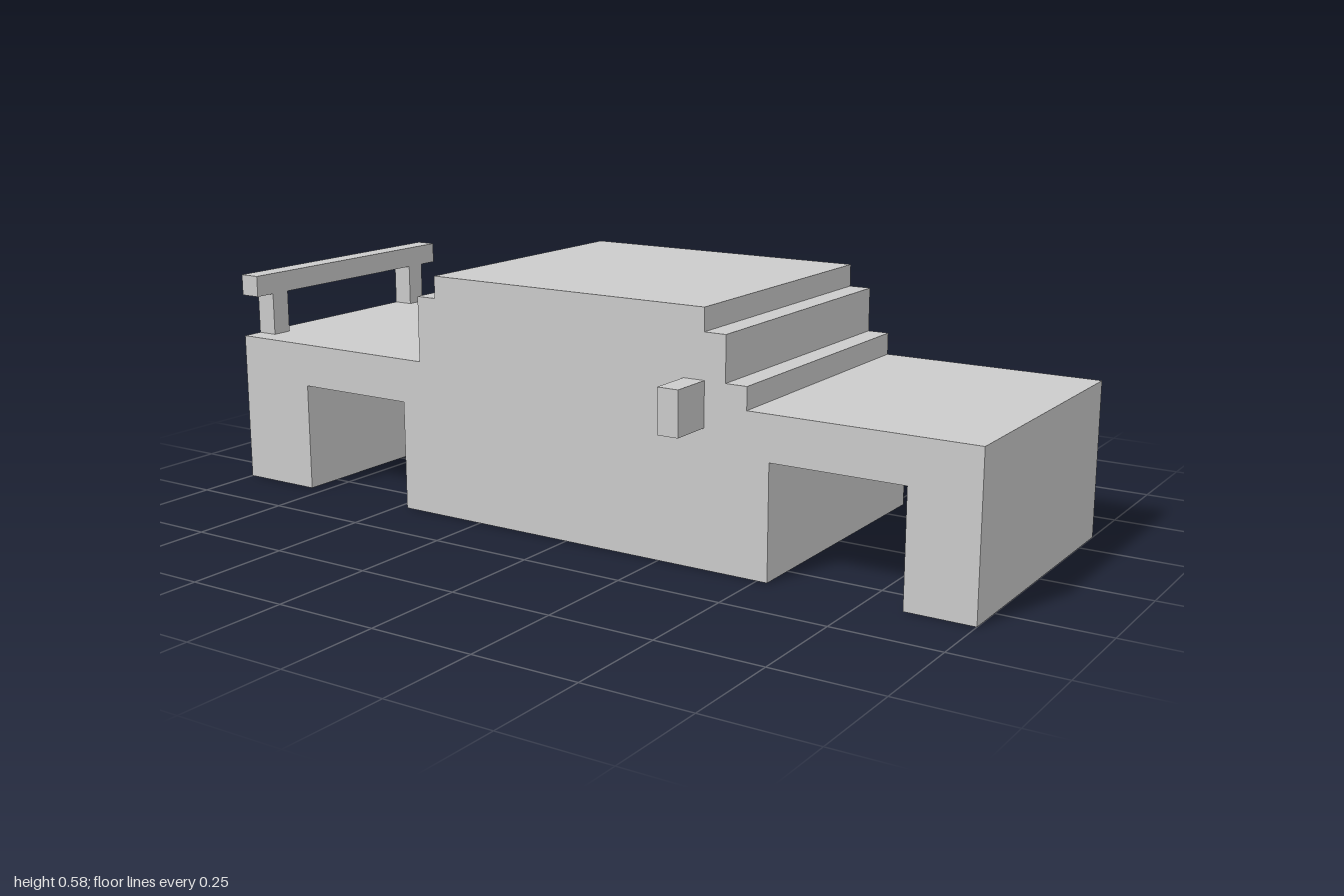
import * as THREE from 'three';

const WIDTH = 0.684; // body width across z
const HALF = WIDTH / 2;

export function createModel() {
  const car = new THREE.Group();
  car.name = 'car';
  const material = new THREE.MeshStandardMaterial({ color: 0xcccccc, flatShading: true });

  const add = (name, geometry) => {
    const mesh = new THREE.Mesh(geometry, material);
    mesh.name = name;
    car.add(mesh);
    return mesh;
  };

  // Box given by its lower and upper corners
  const box = (name, [x0, y0, z0], [x1, y1, z1]) =>
    add(name, new THREE.BoxGeometry(x1 - x0, y1 - y0, z1 - z0))
      .position.set((x0 + x1) / 2, (y0 + y1) / 2, (z0 + z1) / 2);

  // Body: side profile with two wheel wells, stepped cabin and hood
  const profile = [
    [-1, 0], [-0.79, 0], [-0.79, 0.265], [-0.475, 0.265], [-0.475, 0],
    [0.525, 0], [0.525, 0.265], [0.84, 0.265], [0.84, 0], [1, 0],
    [1, 0.37], [0.47, 0.37], [0.47, 0.422], [0.418, 0.422], [0.418, 0.527],
    [0.365, 0.527], [0.365, 0.58], [-0.37, 0.58], [-0.37, 0.527],
    [-0.422, 0.527], [-0.422, 0.37], [-1, 0.37],
  ].map(([x, y]) => new THREE.Vector2(x, y));
  const bodyGeometry = new THREE.ExtrudeGeometry(new THREE.Shape(profile), {
    depth: WIDTH, bevelEnabled: false,
  });
  bodyGeometry.translate(0, 0, -HALF);
  add('body', bodyGeometry);

  // Rear spoiler: a bar on two posts
  box('spoilerBar', [-1, 0.475, -HALF], [-0.948, 0.527, HALF]);
  for (const [name, z] of [['spoilerPostLeft', -0.263], ['spoilerPostRight', 0.263]]) {
    box(name, [-1, 0.37, z - 0.026], [-0.948, 0.475, z + 0.026]);
  }

  // Side mirrors, slightly staggered along the body
  box('mirrorFront', [0.314, 0.318, HALF], [0.366, 0.422, 0.447]);
  box('mirrorBack', [0.26, 0.318, -0.447], [0.312, 0.422, -HALF]);

  return car;
}
